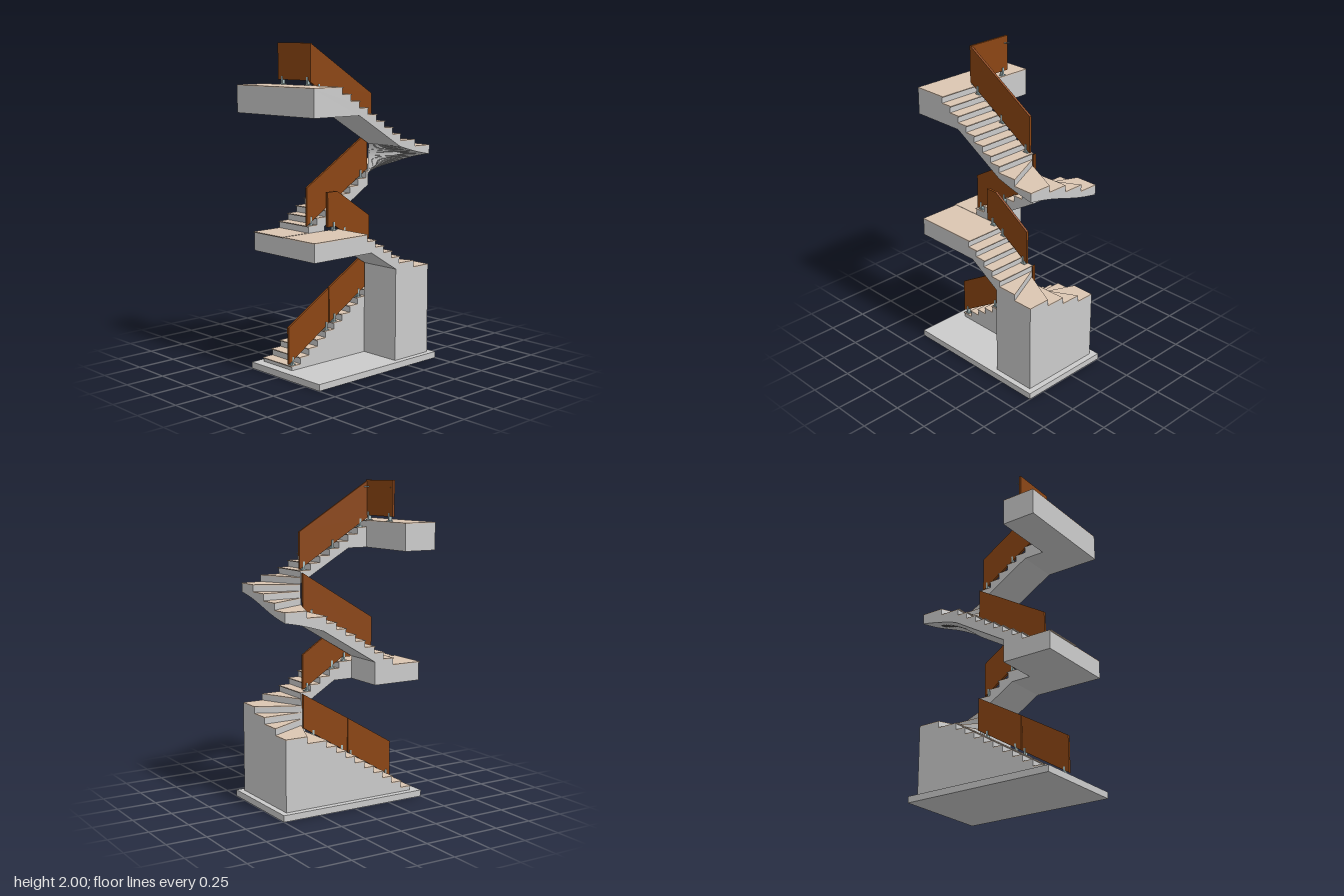
import * as THREE from 'three';
import { toCreasedNormals } from 'three/addons/utils/BufferGeometryUtils.js';

const RISE = 0.042, GO = 0.0687, CAP = 0.006, NOSE = 0.008;
const ZB = -0.217, ZM = 0.053, ZF = 0.329;      // back edge, middle line, front edge
const CX = 0.2, XR = 0.462;                     // newel line and outer edge of the winders

const concrete = new THREE.MeshStandardMaterial({ color: 0xcccccc });
const stone = new THREE.MeshStandardMaterial({ color: 0xdcc6b2 });
const wood = new THREE.MeshStandardMaterial({ color: 0x8b4513 });
const steel = new THREE.MeshStandardMaterial({ color: 0xa9bfc0 });

export function createModel() {
  const model = new THREE.Group();

  const add = (name, geo, mat, parent = model) => {
    const mesh = new THREE.Mesh(geo, mat);
    mesh.name = name;
    parent.add(mesh);
    return mesh;
  };
  const box = (name, mat, x0, x1, y0, y1, z0, z1, parent) =>
    add(name, new THREE.BoxGeometry(x1 - x0, y1 - y0, z1 - z0), mat, parent)
      .position.set((x0 + x1) / 2, (y0 + y1) / 2, (z0 + z1) / 2);
  const shapeOf = pts => new THREE.Shape(pts.map(p => new THREE.Vector2(p[0], p[1])));
  // side profile (x, y) given thickness along z
  const profile = (name, mat, pts, z0, z1, parent) => {
    const geo = new THREE.ExtrudeGeometry(shapeOf(pts), { depth: z1 - z0, bevelEnabled: false });
    add(name, geo.translate(0, 0, z0), mat, parent);
  };
  // plan outline (x, z) laid as a thin stone cap whose upper face is at y
  const cap = (name, pts, y, parent) => {
    const geo = new THREE.ExtrudeGeometry(shapeOf(pts.map(p => [p[0], -p[1]])), { depth: CAP, bevelEnabled: false });
    add(name, geo.rotateX(-Math.PI / 2).translate(0, y - CAP, 0), stone, parent);
  };

  // Straight flight: steps are [xStart, xEnd, top] in climbing order, under is the soffit path
  const flight = (name, steps, under, z0, z1) => {
    const group = new THREE.Group();
    group.name = name;
    model.add(group);
    const top = steps.flatMap(([a, b, y]) => [[a, y - CAP], [b, y - CAP]]);
    profile('flightBody', concrete, [...top, ...under], z0, z1, group);
    for (const [a, b, y] of steps) {
      const nose = a - Math.sign(b - a) * NOSE;
      box('tread', stone, Math.min(nose, b), Math.max(nose, b), y - CAP, y, z0, z1, group);
    }
  };

  // Winding turn: wedges round the newel line, with a soffit height by angle
  const outline = [
    [[CX, ZB], [0.315, ZB]],
    [[0.315, ZB], [XR, ZB], [XR, -0.09]],
    [[XR, -0.09], [XR, 0.047]],
    [[XR, 0.047], [XR, 0.18]],
    [[XR, 0.18], [XR, ZF], [0.33, ZF]],
    [[0.33, ZF], [CX, ZF]],
  ];
  const winders = (name, level, soffit) => {
    const group = new THREE.Group();
    group.name = name;
    model.add(group);
    const pos = [];
    const quad = (a, b, c, d) => pos.push(...a, ...b, ...c, ...a, ...c, ...d);
    const under = p => soffit(Math.atan2(p[1] - ZM, p[0] - CX));
    outline.forEach((pts, i) => {
      const y = level(8 + i) - CAP, s = pts[0];
      const low = y - RISE - CAP;
      quad([CX, low, ZM], [CX, y, ZM], [CX, y, ZM].map((v, j) => j === 1 ? y : [s[0], 0, s[1]][j]), [s[0], low, s[1]]);
      for (let j = 0; j + 1 < pts.length; j++) {
        const N = 6;
        const at = t => [0, 1].map(q => pts[j][q] + (pts[j + 1][q] - pts[j][q]) * t);
        for (let n = 0; n < N; n++) {
          const a = at(n / N), b = at((n + 1) / N), ya = under(a), yb = under(b);
          pos.push(CX, y, ZM, b[0], y, b[1], a[0], y, a[1]);
          quad([CX, ya, ZM], [a[0], ya, a[1]], [b[0], yb, b[1]], [CX, yb, ZM]);
          quad([a[0], ya, a[1]], [a[0], y, a[1]], [b[0], y, b[1]], [b[0], yb, b[1]]);
        }
      }
      cap('winderTread', [[CX, ZM], ...pts], y + CAP, group);
    });
    const geo = new THREE.BufferGeometry();
    geo.setAttribute('position', new THREE.Float32BufferAttribute(pos, 3));
    geo.computeVertexNormals();
    add('winderBody', toCreasedNormals(geo, 0.6), concrete, group);
  };

  const lower = k => 0.11 + RISE * k;
  const upper = k => 0.868 + RISE * k;
  const backSteps = (level, first) => {
    const steps = [];
    for (let k = first; k <= 7; k++) steps.push([0.18 - GO * (8 - k), 0.18 - GO * (7 - k), level(k)]);
    steps.push([0.18, CX, level(8)]);
    return steps;
  };
  const frontSteps = (level, last) => {
    const steps = [];
    for (let k = 14; k <= last; k++) steps.push([CX - GO * (k - 14), CX - GO * (k - 13), level(k)]);
    steps.push([CX - GO * (last - 13), -0.5, level(last + 1)]);   // landing
    return steps;
  };

  box('base', concrete, -0.5, 0.5, 0, 0.04, -0.257, 0.366);

  // Lower storey: solid flight and turn, then a flight up to the middle landing
  flight('lowerBackFlight', backSteps(lower, -1), [[CX, 0.04], [0.18 - GO * 9, 0.04]], ZB, ZM);
  winders('lowerTurn', lower, () => 0.04);
  box('turnWall', concrete, 0.17, CX, 0.04, 0.64, ZM, ZF);
  flight('lowerFrontFlight', frontSteps(lower, 17), [[-0.5, 0.75], [-0.04, 0.75], [CX, 0.603]], ZM, ZF);

  // Upper storey: free-spanning flights with a twisting soffit between them
  const backUpper = [[-0.5, -0.304, 0.868], ...backSteps(upper, 1)];
  flight('upperBackFlight', backUpper, [[CX, 1.117], [-0.17, 0.895], [-0.17, 0.75], [-0.5, 0.75]], ZB, ZM);
  winders('upperTurn', upper, t => 1.247 + 0.13 * t / (Math.PI / 2));
  flight('upperFrontFlight', frontSteps(upper, 20), [[-0.5, 1.58], [-0.145, 1.58], [CX, 1.377]], ZM, ZF);
  box('topLanding', concrete, -0.5, -0.28, 1.58, 1.75 - CAP, -0.37, ZM);
  box('topLandingCap', stone, -0.5, -0.28, 1.75 - CAP, 1.75, -0.37, ZM);

  // Timber balustrade panels, each with clamps standing on the treads
  const ZI = [0.026, 0.041], ZO = [0.066, 0.081];
  const panel = (name, pts, [z0, z1], clamps) => {
    const group = new THREE.Group();
    group.name = name;
    model.add(group);
    profile('panel', wood, pts, z0, z1, group);
    for (const [x, y] of clamps) {
      const zc = (z0 + z1) / 2;
      box('clampFoot', steel, x - 0.017, x + 0.017, y, y + 0.006, zc - 0.012, zc + 0.012, group);
      box('clampPost', steel, x - 0.006, x + 0.006, y, y + 0.052, zc - 0.011, zc + 0.011, group);
    }
  };
  const onBack = (level, x) => [x, level(Math.floor((x - 0.18) / GO) + 8)];
  const onFront = (level, x) => [x, level(Math.floor((CX - x) / GO) + 14)];

  panel('lowerBackRailStart', [[-0.452, 0.078], [-0.127, 0.277], [-0.127, 0.5], [-0.452, 0.305]], ZI,
    [-0.42, -0.147].map(x => onBack(lower, x)));
  panel('lowerBackRailEnd', [[-0.122, 0.28], [0.2, 0.475], [0.2, 0.69], [-0.122, 0.503]], ZI,
    [-0.08, 0.13].map(x => onBack(lower, x)));
  panel('lowerFrontRail',
    [[-0.17, 0.89], [-0.105, 0.89], [0.18, 0.71], [0.18, 0.93], [-0.09, 1.105], [-0.17, 1.105]], ZO,
    [[-0.12, 0.866], onFront(lower, -0.03), onFront(lower, 0.15)]);
  panel('upperBackRail', [[-0.302, 0.91], [0.2, 1.215], [0.2, 1.443], [-0.302, 1.14]], ZI,
    [-0.27, -0.06, 0.142].map(x => onBack(upper, x)));
  panel('upperFrontRail', [[-0.305, 1.772], [0.2, 1.46], [0.2, 1.69], [-0.305, 2]], ZO,
    [-0.24, -0.035, 0.17].map(x => onFront(upper, x)));

  // Guard along the edge of the top landing
  box('landingRail', wood, -0.305, -0.291, 1.78, 2, -0.217, 0.08);
  for (const z of [-0.178, 0.05]) {
    box('landingClampFoot', steel, -0.31, -0.286, 1.75, 1.756, z - 0.017, z + 0.017);
    box('landingClampPost', steel, -0.309, -0.287, 1.75, 1.802, z - 0.006, z + 0.006);
  }
  // Small corner ties near the top of the guard
  for (const [z0, z1] of [[-0.19, -0.215], [0.045, 0.068]]) {
    const tie = new THREE.LineCurve3(new THREE.Vector3(-0.292, 1.957, z0), new THREE.Vector3(-0.27, 1.957, z1));
    add('cornerTie', new THREE.TubeGeometry(tie, 1, 0.003, 6), steel);
  }
  return model;
}
